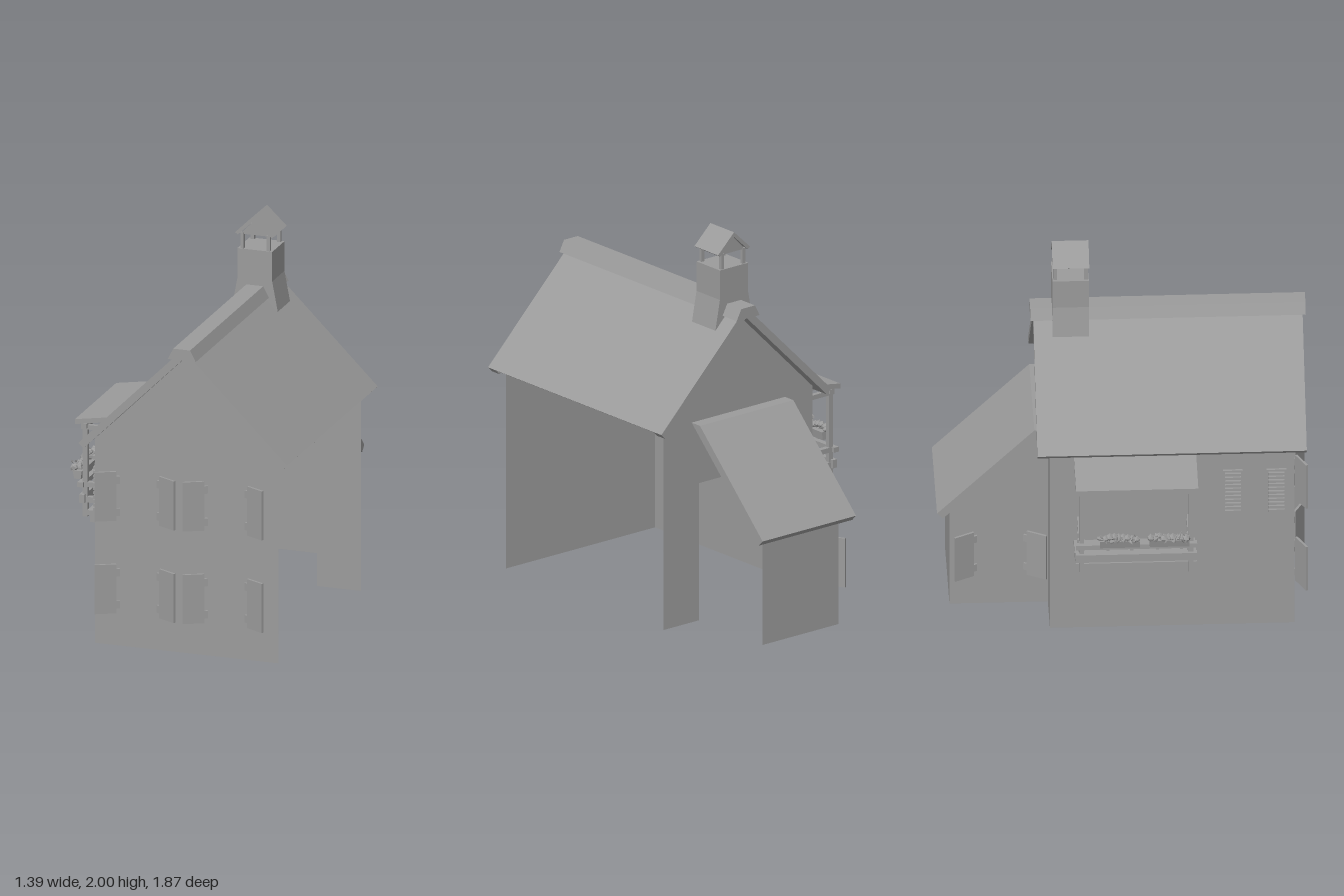
import * as THREE from 'three';

const grey = new THREE.MeshStandardMaterial({ color: 0x9b9b9b, flatShading: true, side: THREE.DoubleSide });

function outline(points) {
  return new THREE.Shape(points.map(([a, b]) => new THREE.Vector2(a, b)));
}

export function createModel() {
  const house = new THREE.Group();
  house.name = 'openSidedHouse';

  function add(parent, name, geometry) {
    const mesh = new THREE.Mesh(geometry, grey);
    mesh.name = name;
    parent.add(mesh);
    return mesh;
  }
  // Box given by its limits on each axis
  function box(parent, name, [x0, x1], [y0, y1], [z0, z1]) {
    const geometry = new THREE.BoxGeometry(x1 - x0, y1 - y0, z1 - z0);
    geometry.translate((x0 + x1) / 2, (y0 + y1) / 2, (z0 + z1) / 2);
    return add(parent, name, geometry);
  }
  // Thin wall facing along z, points are (x, y)
  function crossWall(name, points, z) {
    return add(house, name, new THREE.ShapeGeometry(outline(points)).translate(0, 0, z));
  }
  // Thin wall facing along x, points are (z, y)
  function sideWall(name, points, x) {
    return add(house, name, new THREE.ShapeGeometry(outline(points)).rotateY(-Math.PI / 2).translate(x, 0, 0));
  }
  // Profile in (x, y), run from z0 to z1
  function prism(parent, name, points, z0, z1) {
    const geometry = new THREE.ExtrudeGeometry(outline(points), { depth: z1 - z0, bevelEnabled: false });
    return add(parent, name, geometry.translate(0, 0, z0));
  }

  // Main walls: the right side and the floor are open
  const mid = 0.135, left = -0.355, right = 0.625, front = 0.86, back = -0.37;
  const leanLeft = -0.11, leanRight = 0.39, leanBack = -0.865;
  const gable = [[right, 1.08], [mid, 1.57], [left, 1.08]];
  crossWall('frontWall', [[left, 0], [right, 0], ...gable], front);
  crossWall('backWall', [
    [left, 0], [leanLeft, 0], [leanLeft, 0.73], [leanRight, 0.73], [leanRight, 0], [right, 0], ...gable,
  ], back);
  sideWall('leftWall', [[back, 0], [front, 0], [front, 1.08], [back, 1.08]], left);

  // Roof slopes: the right one is a thin sheet over the open side, with thick overhangs at both ends
  const slope = (s, thick) => [
    [mid, 1.625], [mid + s * 0.557, 1.07],
    [mid + s * (0.557 - thick), 1.07 - thick], [mid, 1.625 - thick * 2],
  ];
  prism(house, 'leftRoofSlope', slope(-1, 0.027), -0.435, 0.92);
  prism(house, 'rightRoofSlope', slope(1, 0.002), -0.435, 0.92);
  prism(house, 'rightFrontOverhang', slope(1, 0.027), front, 0.92);
  prism(house, 'rightBackOverhang', slope(1, 0.027), -0.435, back);
  prism(house, 'ridgeCap', [[0.06, 1.572], [0.21, 1.572], [0.18, 1.63], [0.09, 1.63]], -0.45, 0.935);

  // Chimney with a little pitched hood on four posts
  const chimney = new THREE.Group();
  chimney.name = 'chimney';
  house.add(chimney);
  prism(chimney, 'chimneyStack', [
    [0.012, 1.5], [mid, 1.56], [0.258, 1.5], [0.228, 1.66], [0.228, 1.817], [0.042, 1.817], [0.042, 1.66],
  ], -0.34, -0.157);
  for (const x of [0.065, 0.205]) {
    for (const z of [-0.326, -0.171]) {
      box(chimney, 'hoodPost', [x - 0.009, x + 0.009], [1.817, 1.9], [z - 0.009, z + 0.009]);
    }
  }
  prism(chimney, 'chimneyHood', [
    [0.03, 1.9], [0.045, 1.89], [mid, 1.975], [0.225, 1.89], [0.24, 1.9], [mid, 2],
  ], -0.34, -0.155);
  for (const z of [-0.33, -0.175]) {
    prism(chimney, 'hoodGable', [[0.055, 1.893], [0.215, 1.893], [mid, 1.975]], z, z + 0.01);
  }

  // Lean-to at the back, open on its right
  crossWall('leanToBackWall', [[leanLeft, 0], [leanRight, 0], [leanRight, 0.585], [leanLeft, 0.585]], leanBack);
  sideWall('leanToLeftWall', [[leanBack, 0], [back, 0], [back, 1.065], [leanBack, 0.585]], leanLeft);
  const leanRoof = new THREE.ExtrudeGeometry(
    outline([[-0.44, 1.065], [-0.93, 0.58], [-0.9, 0.55], [-0.375, 1.065]]), { depth: 0.613, bevelEnabled: false });
  add(house, 'leanToRoof', leanRoof.rotateY(-Math.PI / 2).translate(0.443, 0, 0));

  // Shutters, swung out from their hinges
  function shutterPair(parent, centre, half, y, wall) {
    for (const s of [-1, 1]) {
      const shutter = new THREE.Group();
      shutter.name = 'shutter';
      shutter.position.set(centre + s * half, y, wall + 0.006);
      shutter.rotation.y = s > 0 ? -0.48 : Math.PI + 0.48;
      box(shutter, 'shutterPanel', [0.018, 0.128], [-0.13, 0.13], [-0.006, 0.006]);
      for (const h of [-0.085, 0.085]) {
        box(shutter, 'hingeTab', [0, 0.018], [h - 0.02, h + 0.02], [-0.005, 0.005]);
      }
      parent.add(shutter);
    }
  }
  for (const y of [0.305, 0.795]) {
    shutterPair(house, -0.12, 0.1, y, front);
    shutterPair(house, 0.35, 0.1, y, front);
  }
  const leanToShutters = new THREE.Group();
  leanToShutters.name = 'leanToShutters';
  leanToShutters.rotation.y = -Math.PI / 2;
  shutterPair(leanToShutters, -0.61, 0.118, 0.305, -leanLeft);
  house.add(leanToShutters);

  // Balcony on the left wall
  const balcony = new THREE.Group();
  balcony.name = 'balcony';
  house.add(balcony);
  const zBack = -0.22, zFront = 0.33;
  prism(balcony, 'balconyRoof', [[-0.638, 0.972], [-0.35, 1.02], [-0.35, 1.045], [-0.638, 0.998]], -0.25, 0.365);
  box(balcony, 'balconyFloor', [-0.575, left], [0.497, 0.522], [-0.25, 0.36]);
  box(balcony, 'floorBeam', [-0.57, left], [0.45, 0.497], [zBack, zFront]);
  for (const z of [zBack, zFront]) {
    box(balcony, 'balconyPost', [-0.605, -0.58], [0.48, 0.975], [z - 0.012, z + 0.012]);
    box(balcony, 'roofBeam', [-0.615, left], [0.942, 0.966], [z - 0.012, z + 0.012]);
    box(balcony, 'wallBracket', [-0.418, left], [0.955, 1.03], [z - 0.02, z + 0.02]);
    box(balcony, 'upperSideRail', [-0.62, left], [0.638, 0.664], [z - 0.014, z + 0.014]);
    box(balcony, 'lowerSideRail', [-0.615, left], [0.556, 0.586], [z - 0.014, z + 0.014]);
  }
  box(balcony, 'upperFrontRail', [-0.628, -0.598], [0.638, 0.664], [-0.25, 0.36]);
  box(balcony, 'lowerFrontRail', [-0.618, -0.59], [0.556, 0.6], [-0.25, 0.36]);
  box(balcony, 'frontHeader', [-0.61, -0.58], [0.95, 0.975], [-0.24, 0.355]);

  // Slatted shutters flat against the wall
  for (const z of [0.5, 0.72]) {
    box(house, 'wallShutter', [-0.368, left], [0.67, 0.925], [z, z + 0.1]);
    for (let i = 0; i < 11; i++) {
      box(house, 'shutterSlat', [-0.382, -0.368], [0.68 + i * 0.022, 0.694 + i * 0.022], [z + 0.01, z + 0.09]);
    }
  }

  // Window boxes with leafy flowers
  let seed = 7;
  const rand = () => (seed = (seed * 16807) % 2147483647) / 2147483647;
  for (const zc of [-0.03, 0.22]) {
    const planter = new THREE.Group();
    planter.name = 'planter';
    house.add(planter);
    prism(planter, 'planterBox', [[-0.658, 0.667], [-0.624, 0.667], [-0.618, 0.71], [-0.668, 0.71]], zc - 0.1, zc + 0.1);
    for (const d of [-0.06, 0.06]) {
      box(planter, 'planterBracket', [-0.634, -0.624], [0.635, 0.69], [zc + d - 0.008, zc + d + 0.008]);
    }
    for (let i = 0; i < 18; i++) {
      const z = zc - 0.095 + (i / 17) * 0.19;
      if (i % 2 === 0) {
        const bloom = add(planter, 'bloom', new THREE.IcosahedronGeometry(0.016 + rand() * 0.007, 0));
        bloom.position.set(-0.67 + rand() * 0.025, 0.712 + rand() * 0.02, z);
      }
      const leaf = add(planter, 'leaf', new THREE.ConeGeometry(0.012, 0.045, 4).scale(1, 1, 0.4));
      leaf.position.set(-0.678 + rand() * 0.03, 0.712 + rand() * 0.022, z);
      leaf.rotation.set((rand() - 0.5) * 1.6, rand() * 3, 0.6 + rand() * 1.3);
    }
  }
  return house;
}
